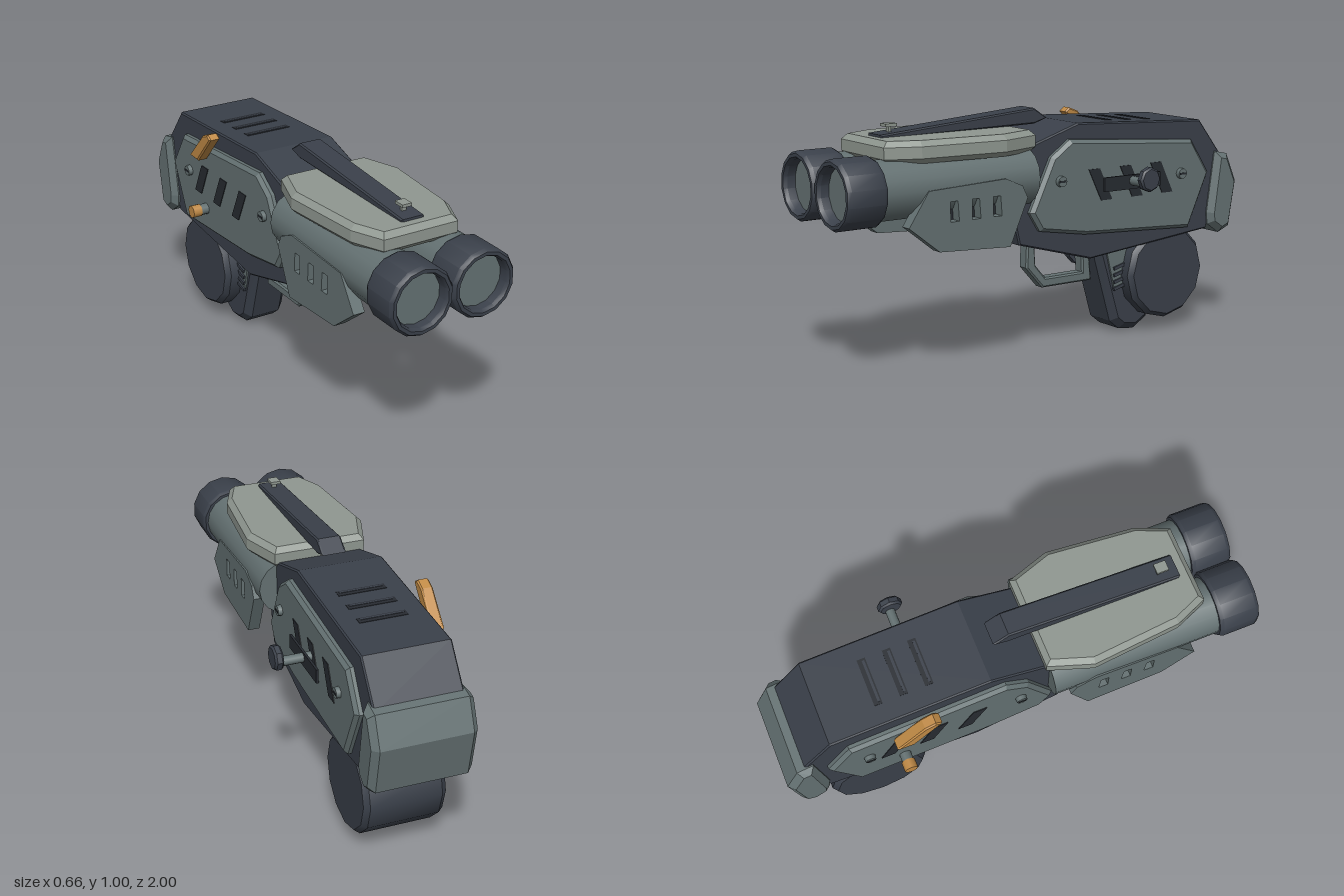
import * as THREE from 'three';
import { toCreasedNormals } from 'three/addons/utils/BufferGeometryUtils.js';

const CX = -0.046; // centre plane of the body

export function createModel() {
  const model = new THREE.Group();
  model.name = 'blaster';

  const mat = (name, color) => {
    const m = new THREE.MeshStandardMaterial({ color });
    m.name = name;
    return m;
  };
  const dark = mat('dark gunmetal', 0x3a404a);
  const grey = mat('teal grey', 0x647172);
  const light = mat('light grey', 0x8f9790);
  const orange = mat('orange', 0xc08a45);
  const black = mat('slot black', 0x272b31);

  const add = (name, geo, material, x = 0, y = 0, z = 0) => {
    const mesh = new THREE.Mesh(geo, material);
    mesh.name = name;
    mesh.position.set(x, y, z);
    model.add(mesh);
    return mesh;
  };
  const box = (name, material, w, h, d, x, y, z) =>
    add(name, new THREE.BoxGeometry(w, h, d), material, x, y, z);
  const poly = (pts) => new THREE.Shape(pts.map(([a, b]) => new THREE.Vector2(a, b)));
  const extrude = (shape, width, bevel) => {
    const g = new THREE.ExtrudeGeometry(shape, {
      depth: width - 2 * bevel, bevelEnabled: bevel > 0, bevelSize: bevel,
      bevelThickness: bevel, bevelOffset: -bevel, bevelSegments: 1, steps: 1,
    });
    return g.translate(0, 0, -(width - 2 * bevel) / 2);
  };
  // outline given as [z, y], thickness runs along x
  const side = (name, shape, width, bevel, material, x = CX) =>
    add(name, extrude(shape, width, bevel).rotateY(-Math.PI / 2), material, x);
  // profile given as [radius, height]
  const lathe = (pts, sides) => toCreasedNormals(
    new THREE.LatheGeometry(pts.map(([r, h]) => new THREE.Vector2(r, h)), sides), 0.6);

  // Receiver
  side('receiver', poly([[0.22, 0.68], [0.12, 0.87], [-0.126, 0.947], [-0.79, 0.914],
    [-0.92, 0.75], [-0.84, 0.43], [-0.195, 0.37], [0.17, 0.47]]), 0.364, 0.006, dark);

  // Shoulder pad
  side('shoulderPad', poly([[-0.875, 0.77], [-0.945, 0.755], [-1, 0.63], [-0.965, 0.43],
    [-0.905, 0.405], [-0.84, 0.45], [-0.835, 0.5]]), 0.425, 0.025, grey);

  // Top vents, following the slope of the receiver
  for (const z of [-0.56, -0.455, -0.35]) {
    const y = 0.945 + (z + 0.126) * 0.0497;
    box('topVent', black, 0.2, 0.008, 0.034, CX, y, z).rotation.x = -0.05;
    box('topVentLip', dark, 0.18, 0.008, 0.01, CX, y + 0.002, z + 0.006).rotation.x = -0.05;
  }

  // Side plates, screws, slots and fore guards
  const platePts = [[0.13, 0.6], [0.024, 0.82], [-0.07, 0.885], [-0.726, 0.835],
    [-0.825, 0.685], [-0.716, 0.45], [-0.15, 0.482], [0.08, 0.52]];
  for (const s of [-1, 1]) {
    side('sidePlate', poly(platePts), 0.06, 0.015, grey, CX + s * 0.182);

    for (const [z, y] of [[-0.013, 0.72], [-0.657, 0.695]]) {
      const g = new THREE.CylinderGeometry(0.022, 0.024, 0.03, 10).rotateZ(-s * Math.PI / 2);
      add('screw', g, grey, CX + s * 0.215, y, z);
      box('screwSlot', black, 0.004, 0.008, 0.034, CX + s * 0.23, y, z);
    }
    for (const z of [-0.22, -0.385, -0.55]) {
      side('sideSlot', poly([[z + 0.062, 0.755], [z + 0.004, 0.755], [z - 0.062, 0.62],
        [z - 0.004, 0.62]]), 0.006, 0, black, CX + s * 0.212);
    }

    const guard = poly([[0.646, 0.75], [0.737, 0.615], [0.6, 0.508], [0.27, 0.49],
      [0.185, 0.68], [0.21, 0.73], [0.29, 0.765]]);
    for (const z of [0.53, 0.43, 0.33]) {
      const w = 0.02;
      guard.holes.push(new THREE.Path([[z + w, 0.7], [z - w + 0.006, 0.7],
        [z - w, 0.62], [z + w, 0.62]].map(([a, b]) => new THREE.Vector2(a, b))));
    }
    side('foreGuard', guard, 0.05, 0, grey, CX + s * 0.237);
    box('foreGuardBacking', black, 0.006, 0.1, 0.26, CX + s * 0.215, 0.66, 0.43);
  }

  // Twin barrels with muzzle rings and lenses
  for (const s of [-1, 1]) {
    const x = CX + s * 0.1375;
    const tube = new THREE.CylinderGeometry(0.12, 0.12, 0.74, 16).rotateX(Math.PI / 2);
    add('barrel', tube, grey, x, 0.75, 0.49);
    const ring = lathe([[0.115, 0.83], [0.132, 0.83], [0.14, 0.845], [0.14, 0.985],
      [0.13, 1], [0.116, 1], [0.108, 0.985], [0.108, 0.93]], 14).rotateX(Math.PI / 2);
    add('muzzleRing', ring, dark, x, 0.75, 0);
    add('lens', new THREE.CircleGeometry(0.112, 14), grey, x, 0.75, 0.95);
  }

  // Fore cover, outline given as [x, z]
  const half = [[0.195, 0.1], [0.255, 0.28], [0.222, 0.65], [0.165, 0.785]];
  const outline = [...half, ...half.map(([x, z]) => [-x, z]).reverse()];
  add('foreCover', extrude(poly(outline), 0.09, 0.022).rotateX(Math.PI / 2), light, CX, 0.893, 0);

  // Sight rail and front sight
  side('sightRail', poly([[0.73, 0.948], [0, 1.005], [-0.065, 0.96], [0, 0.94], [0.73, 0.93]]),
    0.102, 0.006, dark);
  box('frontSight', light, 0.042, 0.012, 0.05, CX, 0.98, 0.665);
  box('frontSightPost', light, 0.02, 0.03, 0.012, CX, 0.96, 0.665);

  // Charging handle on the left
  box('handleTrack', black, 0.01, 0.06, 0.3, 0.198, 0.69, -0.365);
  add('handleRod', new THREE.CylinderGeometry(0.02, 0.02, 0.15, 10).rotateZ(Math.PI / 2),
    grey, 0.235, 0.695, -0.365);
  add('handleKnob', lathe([[0, -0.018], [0.044, -0.018], [0.052, -0.01], [0.052, 0.01],
    [0.044, 0.018], [0, 0.018]], 8).rotateZ(Math.PI / 2), dark, 0.31, 0.714, -0.36);

  // Selector lever and button on the right
  side('selectorLever', poly([[-0.36, 0.94], [-0.385, 0.957], [-0.43, 0.94], [-0.55, 0.815],
    [-0.48, 0.81]]), 0.05, 0.006, orange, -0.288);
  add('selectorButton', new THREE.CylinderGeometry(0.028, 0.028, 0.04, 8).rotateZ(Math.PI / 2),
    orange, -0.312, 0.565, -0.515);
  add('buttonBase', new THREE.CylinderGeometry(0.024, 0.024, 0.06, 10).rotateZ(Math.PI / 2),
    grey, -0.275, 0.565, -0.515);

  // Grip with side panels and ridges
  side('grip', poly([[-0.28, 0.42], [-0.39, 0.05], [-0.44, 0.01], [-0.52, 0], [-0.595, 0.045],
    [-0.6, 0.12], [-0.52, 0.42]]), 0.195, 0.03, dark);
  for (const s of [-1, 1]) {
    side('gripPanel', poly([[-0.335, 0.4], [-0.385, 0.2], [-0.47, 0.2], [-0.47, 0.4]]),
      0.012, 0, grey, CX + s * 0.1);
    for (let i = 0; i < 4; i++) {
      box('gripRidge', dark, 0.012, 0.014, 0.075, CX + s * 0.108, 0.3 - i * 0.03, -0.415)
        .rotation.x = 0.25;
    }
  }

  // Drum magazine
  add('drum', lathe([[0, -0.172], [0.19, -0.172], [0.208, -0.15], [0.208, 0.15],
    [0.19, 0.172], [0, 0.172]], 12).rotateZ(Math.PI / 2), dark, CX, 0.26, -0.628);

  // Trigger and guard
  const guardShape = poly([[0.02, 0.44], [0.025, 0.33], [-0.06, 0.235], [-0.32, 0.235], [-0.3, 0.44]]);
  guardShape.holes.push(new THREE.Path([[-0.02, 0.41], [-0.265, 0.41], [-0.27, 0.277],
    [-0.075, 0.277], [-0.025, 0.335]].map(([a, b]) => new THREE.Vector2(a, b))));
  side('triggerGuard', guardShape, 0.056, 0.007, grey);
  side('trigger', poly([[-0.19, 0.42], [-0.21, 0.35], [-0.245, 0.315], [-0.235, 0.36],
    [-0.235, 0.42]]), 0.035, 0, dark);

  return model;
}
